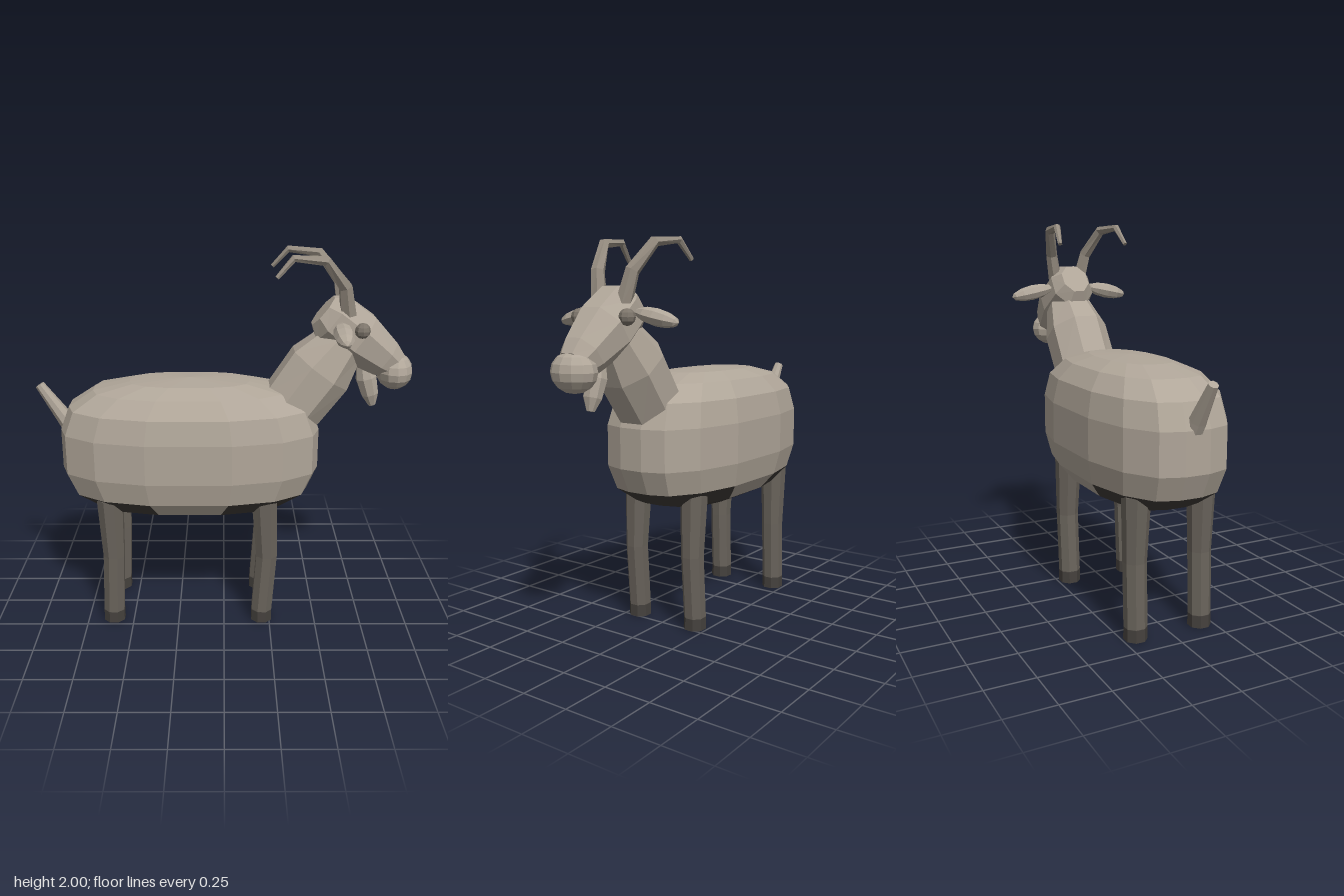
import * as THREE from 'three';

const mat = (name, color) => {
  const m = new THREE.MeshStandardMaterial({ color });
  m.name = name;
  return m;
};

// Faceted skin over closed loops of points; keep(i, j) selects the faces.
function skin(loops, capped = true, keep = () => true) {
  const pos = [];
  const tri = (a, b, c) => {
    const n = b.clone().sub(a).cross(c.clone().sub(a));
    if (n.length() > 1e-9) pos.push(...a, ...b, ...c);
  };
  const n = loops[0].length;
  for (let i = 0; i < loops.length - 1; i++) {
    for (let j = 0; j < n; j++) {
      if (!keep(i, j)) continue;
      const k = (j + 1) % n;
      const [a, b, c, d] = [loops[i][j], loops[i][k], loops[i + 1][k], loops[i + 1][j]];
      tri(a, b, c);
      tri(a, c, d);
    }
  }
  if (capped) {
    const first = loops[0], last = loops[loops.length - 1];
    for (let j = 1; j < n - 1; j++) {
      tri(first[0], first[j + 1], first[j]);
      tri(last[0], last[j], last[j + 1]);
    }
  }
  const g = new THREE.BufferGeometry();
  g.setAttribute('position', new THREE.Float32BufferAttribute(pos, 3));
  g.computeVertexNormals();
  return g;
}

// Limb along a path; each section is [x, y, z, depth radius, side radius].
function limb(sections, sides = 8) {
  const c = sections.map(s => new THREE.Vector3(s[0], s[1], s[2]));
  const loops = sections.map((s, i) => {
    const t = c[Math.min(i + 1, c.length - 1)].clone().sub(c[Math.max(i - 1, 0)]).normalize();
    const side = new THREE.Vector3(0, 0, 1).addScaledVector(t, -t.z).normalize();
    const up = side.clone().cross(t);
    return Array.from({ length: sides }, (_, j) => {
      const a = (j + 0.5) / sides * Math.PI * 2;
      return c[i].clone()
        .addScaledVector(up, Math.cos(a) * s[3])
        .addScaledVector(side, Math.sin(a) * (s[4] ?? s[3]));
    });
  });
  return skin(loops);
}

function ball(radius, w, h) {
  const g = new THREE.SphereGeometry(radius, w, h).toNonIndexed();
  g.computeVertexNormals();
  return g;
}

export function createModel() {
  const model = new THREE.Group();
  model.name = 'goat';
  const coat = mat('coat', 0xb0a699);
  const legCoat = mat('legCoat', 0x69635b);
  const bellyCoat = mat('bellyCoat', 0x3e3a36);
  const hoofHorn = mat('hoofHorn', 0x45413d);
  const horn = mat('horn', 0x958c80);
  const eye = mat('eye', 0x7d756b);

  const add = (name, geometry, material) => {
    const m = new THREE.Mesh(geometry, material);
    m.name = name;
    model.add(m);
    return m;
  };

  // Barrel body: one rounded outline scaled up and down in height
  const quarter = [[0.22, 0.335], [0.48, 0.28], [0.64, 0.18], [0.68, 0.065]];
  const back = [...quarter].reverse();
  const outline = [
    ...quarter,
    ...back.map(([x, z]) => [x, -z]),
    ...quarter.map(([x, z]) => [-x, -z]),
    ...back.map(([x, z]) => [-x, z]),
  ];
  const levels = [[0.6, 0], [0.615, 0.45], [0.66, 0.74], [0.74, 0.92], [0.865, 1],
    [1.075, 1], [1.2, 0.93], [1.285, 0.74], [1.327, 0.46], [1.342, 0]];
  const body = levels.map(([y, s]) =>
    outline.map(([x, z]) => new THREE.Vector3(-0.18 + x * s, y, z * s)));
  const isBelly = (i, j) => i < 3 && !(i === 2 && j % 8 === 7);
  add('body', skin(body, false, (i, j) => !isBelly(i, j)), coat);
  add('belly', skin(body, false, isBelly), bellyCoat);

  // Neck and head
  add('neck', limb([[0.35, 1.18, 0, 0.175, 0.175], [0.5, 1.39, 0, 0.185, 0.175],
    [0.61, 1.53, 0, 0.13, 0.13]]), coat);
  add('head', limb([[0.505, 1.695, 0, 0.095, 0.08], [0.555, 1.655, 0, 0.145, 0.125],
    [0.69, 1.555, 0, 0.148, 0.145], [0.83, 1.45, 0, 0.11, 0.112],
    [0.89, 1.405, 0, 0.08, 0.085]]), coat);
  const muzzle = add('muzzle', ball(1, 12, 8), coat);
  muzzle.scale.set(0.095, 0.098, 0.118);
  muzzle.position.set(0.89, 1.378, 0);
  add('beard', limb([[0.73, 1.41, 0, 0.04], [0.745, 1.34, 0, 0.056],
    [0.77, 1.25, 0, 0.046], [0.785, 1.19, 0, 0.02]]), coat);
  add('tail', limb([[-0.79, 1.03, 0, 0.055], [-0.85, 1.12, 0, 0.043],
    [-0.97, 1.3, 0, 0.025]]), coat);

  // Paired parts
  for (const s of [1, -1]) {
    add('horn', limb([[0.63, 1.66, 0.07, 0.045, 0.04], [0.6, 1.83, 0.105, 0.037, 0.033],
      [0.495, 1.965, 0.155, 0.027], [0.335, 1.98, 0.178, 0.019], [0.255, 1.89, 0.195, 0.012],
    ].map(([x, y, z, ...r]) => [x, y, z * s, ...r]), 6), horn);

    const ear = add('ear', ball(1, 8, 6), coat);
    ear.scale.set(0.052, 0.125, 0.042);
    ear.position.set(0.585, 1.618, 0.233 * s);
    ear.rotation.x = s * (Math.PI / 2 + 0.2);

    const eyeball = add('eye', ball(0.04, 8, 6), eye);
    eyeball.position.set(0.69, 1.62, 0.145 * s);

    // Legs bend slightly at the knee and end in dark hooves
    for (const [name, top, knee, foot] of [['frontLeg', 0.213, 0.23, 0.207],
      ['hindLeg', -0.603, -0.595, -0.607]]) {
      add(name, limb([[foot, 0.065, 0.182 * s, 0.059], [knee, 0.395, 0.182 * s, 0.06],
        [top, 0.73, 0.18 * s, 0.073]]), legCoat);
      add(name + 'Hoof', limb([[foot, 0, 0.182 * s, 0.06],
        [foot, 0.065, 0.182 * s, 0.059]]), hoofHorn);
    }
  }
  return model;
}
